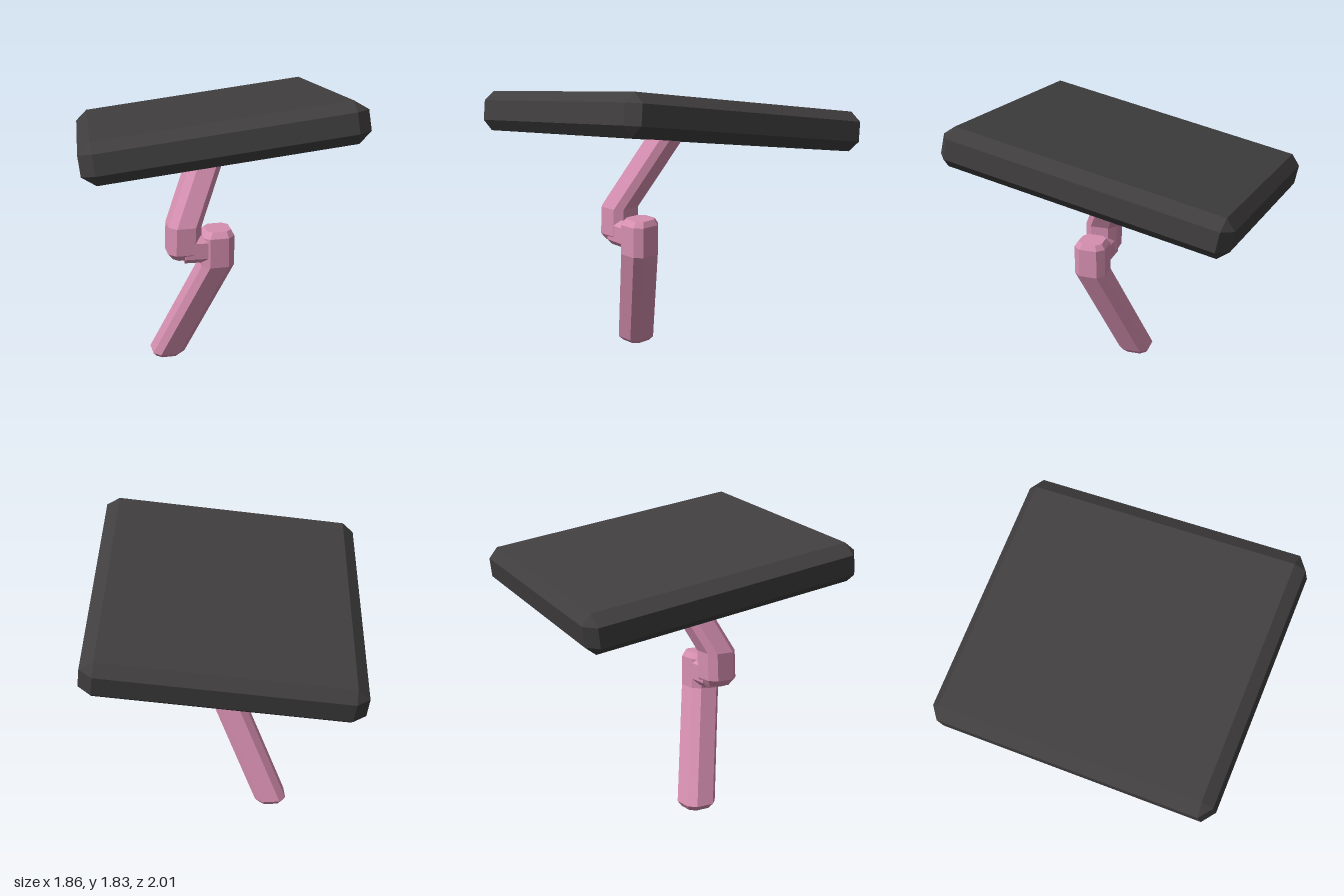
import * as THREE from 'three';
import { ConvexGeometry } from 'three/addons/geometries/ConvexGeometry.js';

const pink = new THREE.MeshStandardMaterial({ color: 0xd68fb0, flatShading: true });
const dark = new THREE.MeshStandardMaterial({ color: 0x403e3f, flatShading: true });

// Square with cut corners, half sizes a and b, turned about y by the given angle.
function section(a, b, cut, turn) {
  const corners = [[a, -b + cut], [a - cut, -b], [-a + cut, -b], [-a, -b + cut],
    [-a, b - cut], [-a + cut, b], [a - cut, b], [a, b - cut]];
  const c = Math.cos(turn), s = Math.sin(turn);
  return corners.map(([x, z]) => [x * c + z * s, z * c - x * s]);
}

// Joins horizontal rings [x, y, z, scale] from bottom to top and caps both ends.
function loft(profile, rings) {
  const n = profile.length, pos = [], index = [];
  for (const [x, y, z, k] of rings)
    for (const [px, pz] of profile) pos.push(x + px * k, y, z + pz * k);
  for (let r = 0; r < rings.length - 1; r++)
    for (let i = 0; i < n; i++) {
      const j = (i + 1) % n, a = r * n + i, b = r * n + j;
      index.push(a, b, b + n, a, b + n, a + n);
    }
  const top = (rings.length - 1) * n;
  for (let i = 1; i < n - 1; i++) {
    index.push(0, i + 1, i);
    index.push(top, top + i, top + i + 1);
  }
  const g = new THREE.BufferGeometry();
  g.setAttribute('position', new THREE.Float32BufferAttribute(pos, 3));
  g.setIndex(index);
  const flat = g.toNonIndexed();
  flat.computeVertexNormals();
  return flat;
}

// Box with every edge and corner bevelled once.
function bevelledBox(half, cut) {
  const points = [];
  for (const sx of [-1, 1]) for (const sy of [-1, 1]) for (const sz of [-1, 1])
    for (let full = 0; full < 3; full++) {
      const p = half.map((h, i) => (i === full ? h : h - cut[i]));
      points.push(new THREE.Vector3(p[0] * sx, p[1] * sy, p[2] * sz));
    }
  return new ConvexGeometry(points);
}

export function createModel() {
  const group = new THREE.Group();
  const add = (name, geometry, material) => {
    const mesh = new THREE.Mesh(geometry, material);
    mesh.name = name;
    group.add(mesh);
    return mesh;
  };

  // Tilted slab
  const slab = add('slab', bevelledBox([0.797, 0.12, 0.878], [0.077, 0.06, 0.06]), dark);
  const u = new THREE.Vector3(0.972, 0.122, -0.201).normalize();
  const n = new THREE.Vector3(0.163, 0.169, 0.972).cross(u).normalize();
  const v = new THREE.Vector3().crossVectors(u, n);
  slab.quaternion.setFromRotationMatrix(new THREE.Matrix4().makeBasis(u, n, v));
  slab.position.set(0, 1.48, 0);

  // Cranked stalk: leaning lower and upper posts, offset sideways
  const post = section(0.1, 0.1, 0.043, 0.28);
  add('lowerPost', loft(post, [
    [-0.265, 0, 0.113, 0.75], [-0.26, 0.03, 0.118, 1],
    [0.058, 0.69, 0.24, 1], [0.058, 0.875, 0.24, 1], [0.065, 0.91, 0.235, 0.75]]), pink);
  add('upperPost', loft(post, [
    [-0.135, 0.74, 0.28, 0.75], [-0.14, 0.78, 0.285, 1],
    [-0.135, 0.95, 0.28, 1], [0.02, 1.42, 0.02, 1]]), pink);

  // Crosspiece joining the two posts
  const joint = add('crosspiece', loft(section(0.085, 0.095, 0.035, 0),
    [[0, -0.1, 0, 1], [0, 0.1, 0, 1]]), pink);
  joint.geometry.rotateZ(Math.PI / 2);
  joint.rotation.y = 0.22;
  joint.position.set(-0.04, 0.8, 0.262);

  return group;
}
